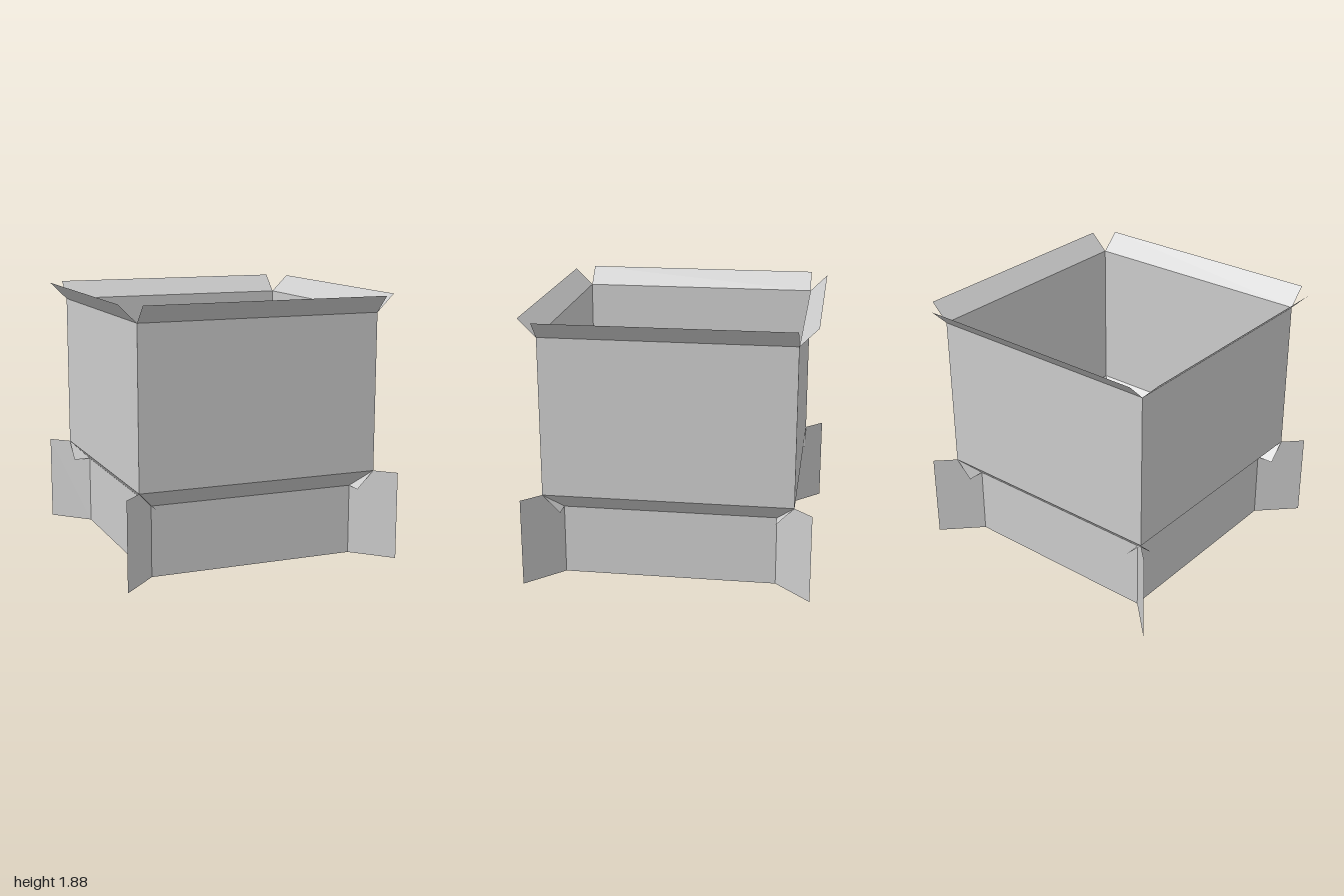
import * as THREE from 'three';

// Flat rectangle spanning a lower edge and an upper edge, each running along x.
// Each edge is [y, z]; the rectangle is 2 * half wide.
function panel(name, half, [y0, z0], [y1, z1], material) {
  const height = Math.hypot(y1 - y0, z1 - z0);
  const mesh = new THREE.Mesh(new THREE.PlaneGeometry(2 * half, height), material);
  mesh.position.set(0, (y0 + y1) / 2, (z0 + z1) / 2);
  mesh.rotation.x = Math.atan2(z1 - z0, y1 - y0);
  mesh.name = name;
  return mesh;
}

export function createModel() {
  const model = new THREE.Group();
  model.name = 'flaredBox';
  const grey = new THREE.MeshStandardMaterial({ color: 0xcccccc, side: THREE.DoubleSide });
  grey.name = 'plainGrey';

  const inner = 0.75, outer = 0.874, reach = 1;
  const ledgeLow = 0.5, ledgeHigh = 0.626, rim = 1.753, top = 1.878;

  // Floor
  const floor = new THREE.Mesh(new THREE.PlaneGeometry(2 * inner, 2 * inner), grey);
  floor.rotation.x = -Math.PI / 2;
  floor.name = 'floor';
  model.add(floor);

  for (let i = 0; i < 4; i++) {
    // One side: lower wall, sloping ledge, upper wall and flared rim flap
    const side = new THREE.Group();
    side.name = ['front', 'left', 'back', 'right'][i] + 'Side';
    side.rotation.y = i * Math.PI / 2;
    side.add(
      panel('lowerWall', inner, [0, inner], [ledgeLow, inner], grey),
      panel('ledge', outer, [ledgeLow, inner], [ledgeHigh, outer], grey),
      panel('upperWall', outer, [ledgeHigh, outer], [rim, outer], grey),
      panel('rimFlap', outer, [rim, outer], [top, reach], grey)
    );

    // Upright fin running diagonally out of the corner
    const fin = new THREE.Mesh(
      new THREE.PlaneGeometry((reach - inner) * Math.SQRT2, ledgeHigh), grey);
    fin.position.set((inner + reach) / 2, ledgeHigh / 2, (inner + reach) / 2);
    fin.rotation.y = -Math.PI / 4;
    fin.name = 'cornerFin';
    side.add(fin);
    model.add(side);
  }
  return model;
}
